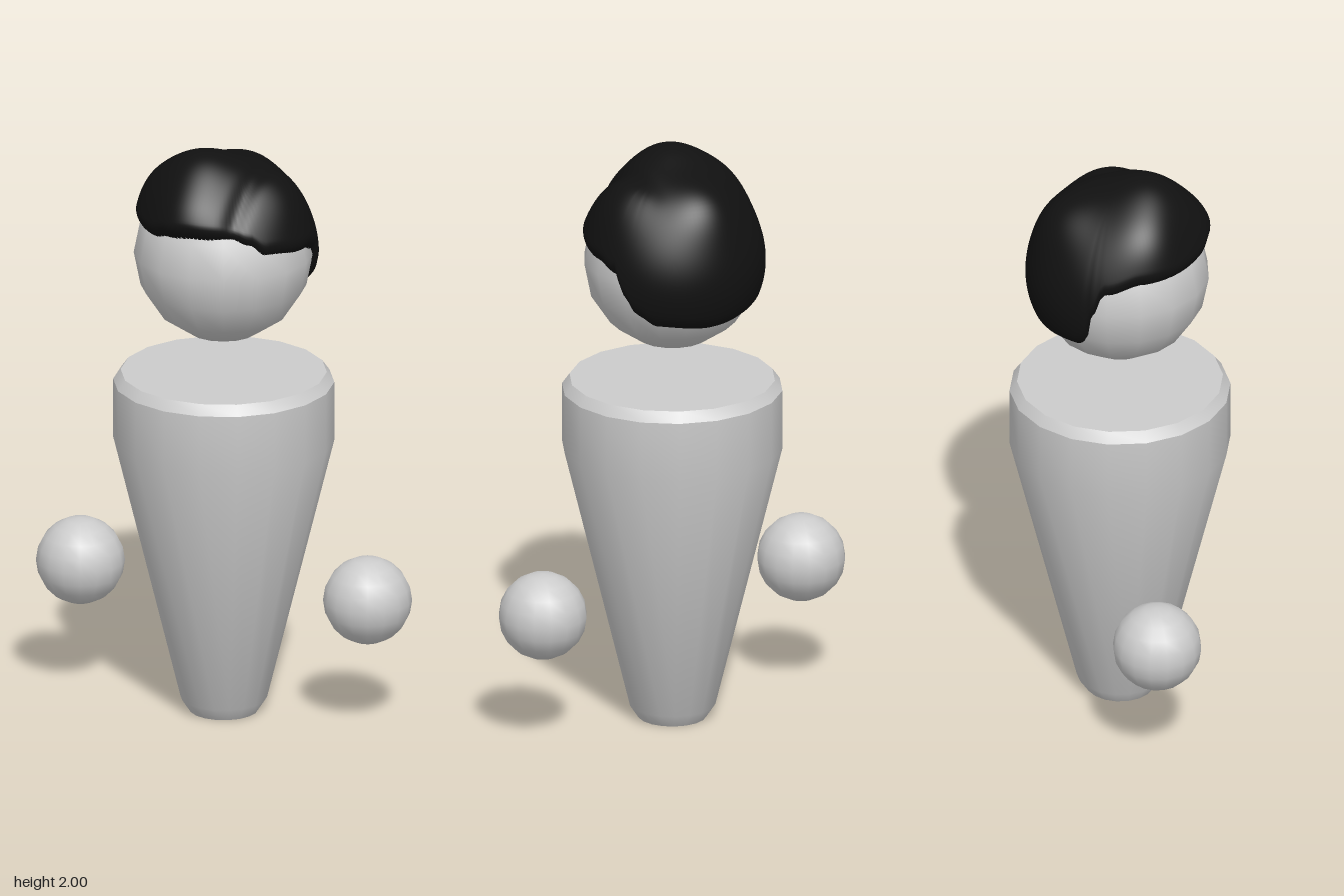
import * as THREE from 'three';
import { mergeVertices, toCreasedNormals } from 'three/addons/utils/BufferGeometryUtils.js';

const HEAD_Y = 1.62, HEAD_R = 0.3;

// Hairline height by azimuth in degrees (0 = front, 90 = +x)
const HAIRLINE = [
  [-180, 1.43], [-135, 1.45], [-128, 1.48], [-122, 1.6], [-115, 1.69], [-90, 1.725], [-35, 1.73],
  [-20, 1.745], [0, 1.755], [28, 1.76], [40, 1.735], [52, 1.695], [90, 1.67], [108, 1.64],
  [114, 1.56], [122, 1.49], [135, 1.45], [180, 1.43],
];

// Raised locks: direction and height
const LOCKS = [
  [new THREE.Vector3(-0.05, 0.36, 0.1), 0.065],
  [new THREE.Vector3(-0.24, 0.27, 0.05), 0.04],
  [new THREE.Vector3(-0.05, 0.22, 0.27), 0.04],
  [new THREE.Vector3(0, 0.28, -0.23), 0.042],
  [new THREE.Vector3(0.21, 0.26, 0), 0.033],
].map(([dir, height]) => [dir.normalize(), height]);

function hairlineY(deg) {
  const i = Math.max(1, HAIRLINE.findIndex(([a]) => a >= deg));
  const [a0, y0] = HAIRLINE[i - 1], [a1, y1] = HAIRLINE[i];
  return THREE.MathUtils.lerp(y0, y1, THREE.MathUtils.smoothstep(deg, a0, a1));
}

function hairRadius(dir) {
  let r = 0.315;
  for (const [lock, height] of LOCKS) r += height * Math.exp(12 * (dir.dot(lock) - 1));
  // Parting that runs front to back on the +x side
  const parting = Math.exp(-(((dir.x - 0.4) / 0.09) ** 2));
  return r - 0.014 * parting * THREE.MathUtils.smoothstep(dir.y, 0.3, 0.6) * THREE.MathUtils.smoothstep(dir.z, -0.5, 0.1);
}

// Hair cap: a sphere grid stretched from the crown to the hairline, rim tucked into the head
function hairGeometry() {
  const geo = new THREE.SphereGeometry(1, 120, 48);
  const pos = geo.attributes.position, uv = geo.attributes.uv;
  const dir = new THREE.Vector3();
  for (let i = 0; i < pos.count; i++) {
    const az = uv.getX(i) * Math.PI * 2 - Math.PI / 2;
    const t = 1 - uv.getY(i);
    let deg = THREE.MathUtils.radToDeg(az);
    if (deg > 180) deg -= 360;
    const low = Math.asin((hairlineY(deg) - HEAD_Y) / 0.31);
    const el = THREE.MathUtils.lerp(Math.PI / 2, low, t);
    dir.set(Math.sin(az) * Math.cos(el), Math.sin(el), Math.cos(az) * Math.cos(el));
    const k = Math.max(0, (t - 0.88) / 0.12);
    const r = 0.27 + (hairRadius(dir) - 0.27) * Math.sqrt(Math.max(0, 1 - k * k));
    pos.setXYZ(i, dir.x * r, dir.y * r, dir.z * r);
  }
  geo.deleteAttribute('uv');
  geo.deleteAttribute('normal');
  const merged = mergeVertices(geo, 1e-4);
  merged.computeVertexNormals();
  return merged;
}

export function createModel() {
  const group = new THREE.Group();
  const grey = new THREE.MeshStandardMaterial({ color: 0xcccccc });
  const black = new THREE.MeshStandardMaterial({ color: 0x111111, side: THREE.DoubleSide });
  const add = (name, geometry, material, x, y) => {
    const mesh = new THREE.Mesh(geometry, material);
    mesh.name = name;
    mesh.position.set(x, y, 0);
    group.add(mesh);
  };

  // Tapered body with bevelled ends
  const profile = [[0, 0], [0.115, 0], [0.145, 0.045], [0.37, 0.96], [0.37, 1.165], [0.345, 1.2], [0, 1.2]]
    .map(([r, y]) => new THREE.Vector2(r, y));
  const body = new THREE.LatheGeometry(profile, 18, Math.PI / 18);
  add('body', toCreasedNormals(body, 0.6), grey, -0.003, 0);

  // Head and hair
  add('head', new THREE.SphereGeometry(HEAD_R, 16, 8), grey, -0.004, HEAD_Y);
  add('hair', hairGeometry(), black, 0, HEAD_Y);

  // Floating hands
  for (const side of [-1, 1]) {
    add(side > 0 ? 'leftHand' : 'rightHand', new THREE.SphereGeometry(0.149, 16, 10), grey, side * 0.52 - 0.002, 0.458);
  }
  return group;
}
